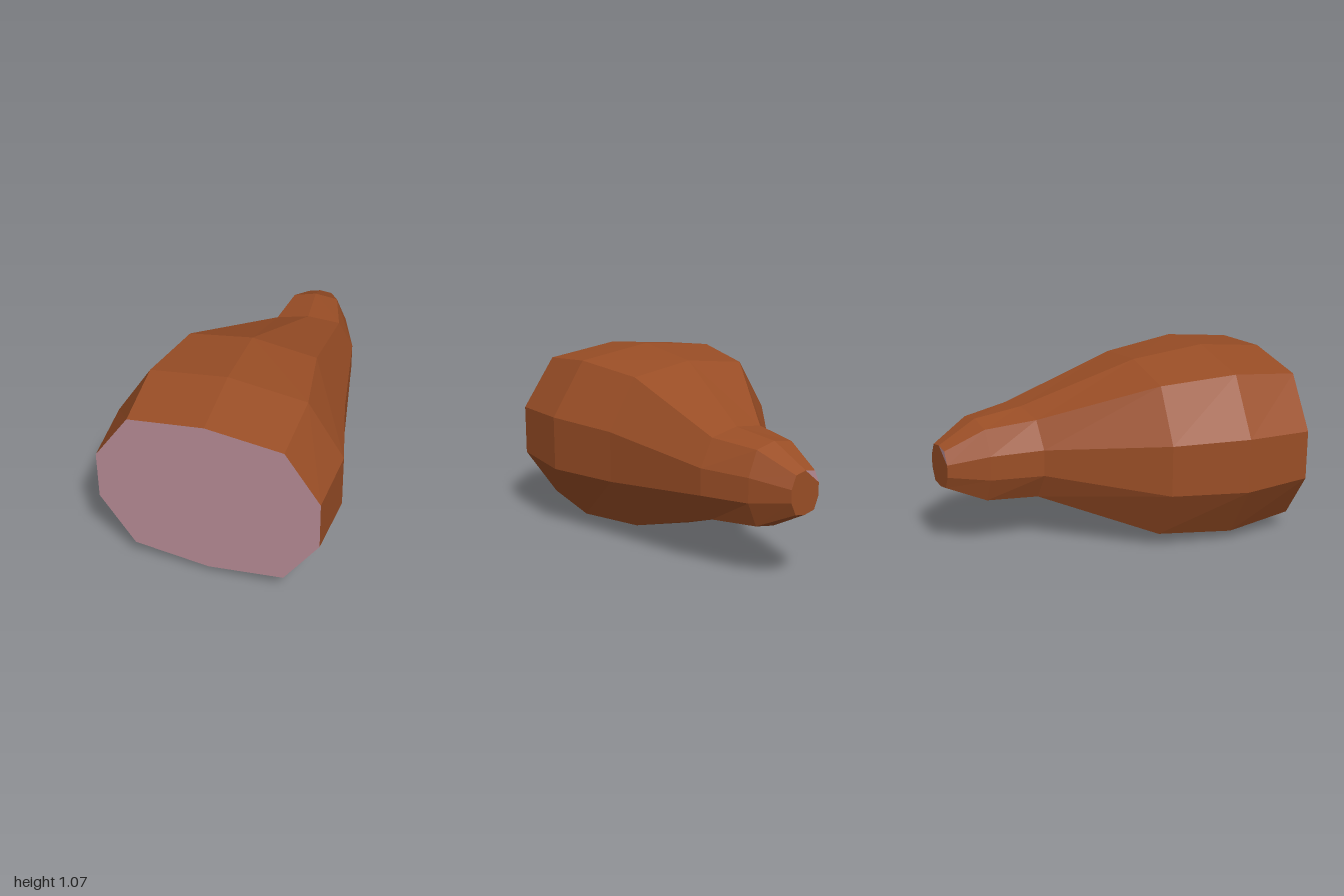
import * as THREE from 'three';

// Ten-sided cross-section, clockwise from the top, in units of the half sizes
const half = [[0, 1], [0.685, 0.893], [1, 0.297], [1, -0.297], [0.685, -0.893]];
const profile = [...half, ...half.map(([x, y]) => [-x, -y])];
const N = profile.length;
const MID_Y = 0.536;

// Sections from front to back: centre x, half width, half height, centre z, z shift at the +x side
const sections = [
  [0.0135, 0.6285, 0.482, 1.0, 0],
  [0, 0.65, 0.535, 0.615, 0],
  [-0.0175, 0.5425, 0.5, 0.177, -0.004],
  [0.1025, 0.2675, 0.26, -0.475, -0.045],
  [0.06, 0.19, 0.238, -0.7625, -0.0275],
  [0.0225, 0.1025, 0.122, -0.985, -0.015],
];

const rings = sections.map(([cx, rx, ry, cz, dz]) =>
  profile.map(([x, y]) => [cx + rx * x, MID_Y + ry * y, cz + dz * x]));

function facets(name, triangles, material) {
  const geometry = new THREE.BufferGeometry();
  geometry.setAttribute('position', new THREE.Float32BufferAttribute(triangles.flat(2), 3));
  geometry.computeVertexNormals(); // unshared corners give flat facets
  const mesh = new THREE.Mesh(geometry, material);
  mesh.name = name;
  return mesh;
}

export function createModel() {
  const brown = new THREE.MeshStandardMaterial({ name: 'brown', color: 0x9a4e26 });
  const pink = new THREE.MeshStandardMaterial({ name: 'dusty pink', color: 0xb88c96 });
  const group = new THREE.Group();
  group.name = 'taperedBody';

  // Side skin between neighbouring sections
  const skin = [];
  for (let i = 0; i < rings.length - 1; i++) {
    for (let j = 0; j < N; j++) {
      const k = (j + 1) % N;
      const [a, b, c, d] = [rings[i][j], rings[i][k], rings[i + 1][k], rings[i + 1][j]];
      skin.push([a, b, d], [b, c, d]);
    }
  }
  group.add(facets('skin', skin, brown));

  // Flat ends, with one small pink facet on the tip
  const front = rings[0];
  const back = rings[rings.length - 1];
  const frontFan = [];
  const backFan = [];
  for (let j = 1; j < N - 1; j++) {
    frontFan.push([front[0], front[j + 1], front[j]]);
    backFan.push([back[0], back[j], back[j + 1]]);
  }
  const tipFacet = backFan.pop();
  group.add(facets('frontFace', frontFan, pink));
  group.add(facets('tip', backFan, brown));
  group.add(facets('tipFacet', [tipFacet], pink));
  return group;
}
